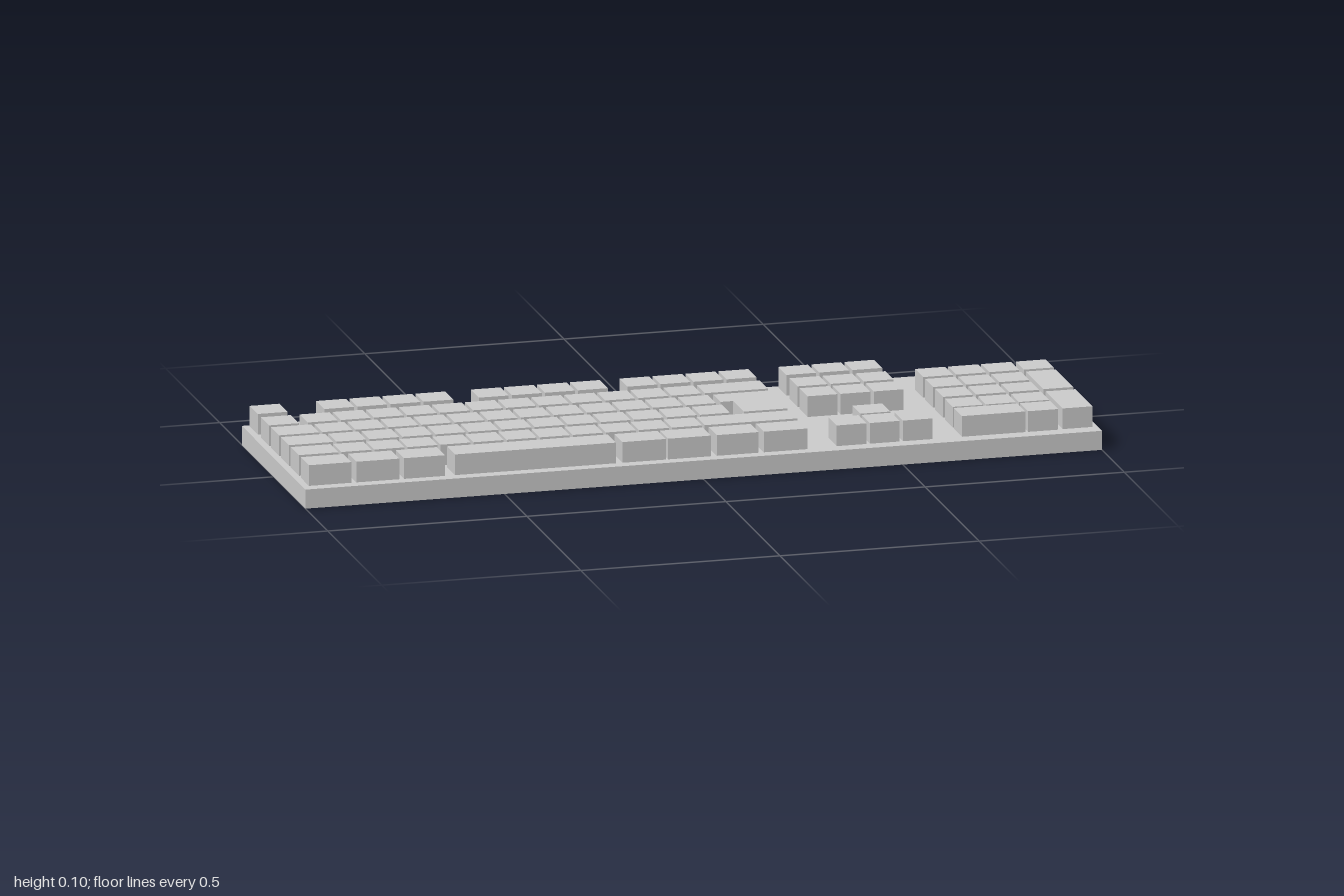
import * as THREE from 'three';

const KEY = 0.075, PITCH = 0.083;
const KEY_BOTTOM = 0.052, KEY_TOP = 0.104;

export function createModel() {
  const keyboard = new THREE.Group();
  keyboard.name = 'keyboard';
  const material = new THREE.MeshStandardMaterial({ color: 0xcccccc, flatShading: true });

  const section = (name) => {
    const group = new THREE.Group();
    group.name = name;
    keyboard.add(group);
    return group;
  };

  // Box from its extents
  const box = (parent, name, x0, x1, y0, y1, z0, z1) => {
    const mesh = new THREE.Mesh(new THREE.BoxGeometry(x1 - x0, y1 - y0, z1 - z0), material);
    mesh.position.set((x0 + x1) / 2, (y0 + y1) / 2, (z0 + z1) / 2);
    mesh.name = name;
    parent.add(mesh);
  };
  const key = (parent, name, x0, x1, z0, z1 = z0 + KEY) =>
    box(parent, name, x0, x1, KEY_BOTTOM, KEY_TOP, z0, z1);
  const keyRow = (parent, name, x0, count, z0) => {
    for (let i = 0; i < count; i++) key(parent, name, x0 + i * PITCH, x0 + i * PITCH + KEY, z0);
  };

  // Base plate
  box(keyboard, 'base', -1, 1, 0, 0.048, -0.294, 0.294);

  // Back edges of the rows, from the function row to the space bar row
  const rows = [-0.27, -0.165, -0.073, 0.018, 0.11, 0.203];
  const LEFT = -0.987, RIGHT = 0.265;

  // Function row
  const functions = section('functionKeys');
  key(functions, 'escapeKey', LEFT, LEFT + KEY, rows[0]);
  for (const x of [-0.82, -0.432, -0.059]) keyRow(functions, 'functionKey', x, 4, rows[0]);

  // Main block
  const main = section('mainKeys');
  key(main, 'cornerKey', LEFT, LEFT + KEY, rows[1]);
  keyRow(main, 'numberKey', -0.89, 12, rows[1]);
  key(main, 'backspaceKey', 0.107, RIGHT, rows[1]);

  key(main, 'tabKey', LEFT, -0.886, rows[2]);
  keyRow(main, 'letterKey', -0.878, 12, rows[2]);

  key(main, 'capsKey', LEFT, -0.876, rows[3]);
  keyRow(main, 'letterKey', -0.868, 12, rows[3]);

  key(main, 'leftShiftKey', LEFT, -0.888, rows[4]);
  keyRow(main, 'letterKey', -0.88, 11, rows[4]);
  key(main, 'rightShiftKey', 0.032, RIGHT, rows[4]);

  // Space bar and its modifiers
  const bottomSpans = [
    [-0.987, -0.88], [-0.868, -0.76], [-0.748, -0.645], [-0.62, -0.216],
    [-0.2, -0.091], [-0.085, 0.022], [0.037, 0.142], [0.155, RIGHT],
  ];
  bottomSpans.forEach(([a, b], i) => key(main, i === 3 ? 'spaceBar' : 'modifierKey', a, b, rows[5]));

  // Stepped enter key spanning two rows
  const outline = [
    [0.123, 0.073], [0.123, 0.005], [0.155, 0.005], [0.155, -0.093], [RIGHT, -0.093], [RIGHT, 0.073],
  ].map(([x, y]) => new THREE.Vector2(x, y));
  const enterGeometry = new THREE.ExtrudeGeometry(new THREE.Shape(outline), {
    depth: KEY_TOP - KEY_BOTTOM, bevelEnabled: false,
  });
  enterGeometry.rotateX(-Math.PI / 2);
  const enter = new THREE.Mesh(enterGeometry, material);
  enter.position.y = KEY_BOTTOM;
  enter.name = 'enterKey';
  main.add(enter);

  // Navigation block and arrows
  const NAV = 0.34;
  const navigation = section('navigationKeys');
  for (let r = 0; r < 3; r++) keyRow(navigation, 'navigationKey', NAV, 3, rows[r]);
  key(navigation, 'arrowKey', NAV + PITCH, NAV + PITCH + KEY, 0.11);
  keyRow(navigation, 'arrowKey', NAV, 3, 0.196);

  // Number pad with tall right-hand keys and a wide zero
  const PAD = 0.655, TALL = 0.908;
  const pad = section('numberPad');
  for (let r = 1; r < 5; r++) keyRow(pad, 'padKey', PAD, 3, rows[r]);
  key(pad, 'padKey', TALL, TALL + KEY, rows[1]);
  key(pad, 'padPlusKey', TALL, TALL + KEY, rows[2], 0.09);
  key(pad, 'padEnterKey', TALL, TALL + KEY, rows[4], 0.268);
  key(pad, 'padZeroKey', PAD, 0.814, 0.195);
  key(pad, 'padPointKey', 0.821, 0.896, 0.195);

  return keyboard;
}
